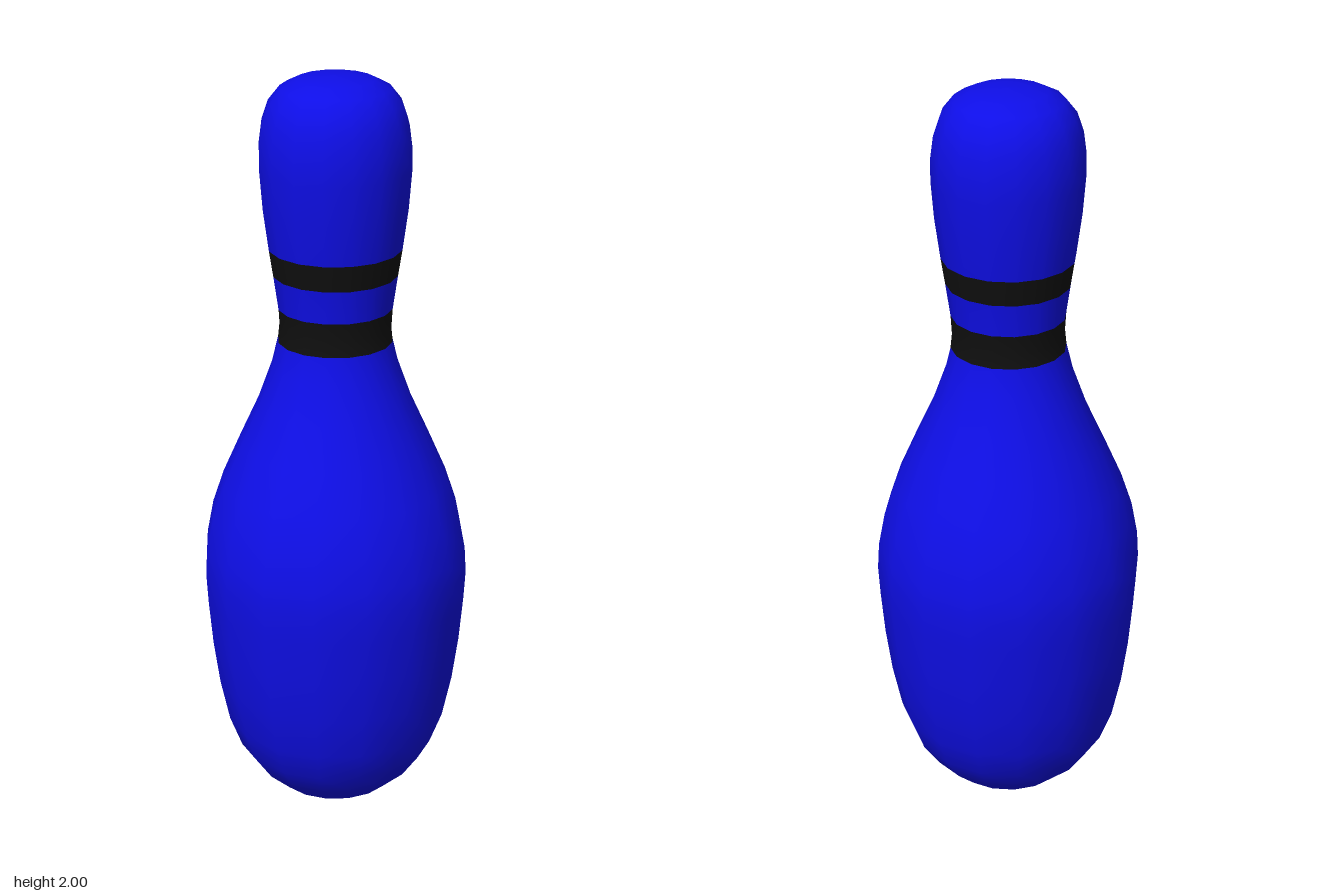
import * as THREE from 'three';

const SIDES = 16;

// Outline from the foot to the crown: [radius, height]
const profile = [
  [0.115, 0], [0.155, 0.022], [0.215, 0.075], [0.262, 0.14], [0.295, 0.225],
  [0.32, 0.34], [0.337, 0.46], [0.348, 0.58], [0.353, 0.66], [0.349, 0.73],
  [0.332, 0.82], [0.302, 0.91], [0.254, 1.02], [0.204, 1.13], [0.168, 1.23],
  [0.151, 1.3], [0.147, 1.34], [0.15, 1.39], [0.163, 1.48], [0.174, 1.55],
  [0.189, 1.66], [0.197, 1.76], [0.197, 1.82], [0.189, 1.88], [0.172, 1.93],
  [0.142, 1.968], [0.1, 1.989], [0.05, 1.998], [0, 2],
];

export function createModel() {
  const blue = new THREE.MeshStandardMaterial({ name: 'blue', color: 0x0f0fee });
  const black = new THREE.MeshStandardMaterial({ name: 'black', color: 0x0f0f0f });
  const green = new THREE.MeshStandardMaterial({ name: 'dark green', color: 0x0b3d30 });

  const model = new THREE.Group();
  model.name = 'bowlingPin';

  // One smooth turned surface, cut by height so normals run on across the colours
  const turned = new THREE.LatheGeometry(profile.map(([r, y]) => new THREE.Vector2(r, y)), SIDES);
  const addBand = (name, low, high, material) => {
    const geometry = turned.clone();
    const { position } = geometry.attributes;
    const source = turned.index.array;
    const kept = [];
    for (let i = 0; i < source.length; i += 3) {
      const face = [source[i], source[i + 1], source[i + 2]];
      const middle = face.reduce((sum, v) => sum + position.getY(v), 0) / 3;
      if (middle > low && middle < high) kept.push(...face);
    }
    geometry.setIndex(kept);
    const mesh = new THREE.Mesh(geometry, material);
    mesh.name = name;
    model.add(mesh);
  };
  addBand('body', 0, 1.3, blue);
  addBand('lowerStripe', 1.3, 1.39, black);
  addBand('neck', 1.39, 1.48, blue);
  addBand('upperStripe', 1.48, 1.55, black);
  addBand('head', 1.55, 2, blue);

  // Flat underside
  const base = new THREE.Mesh(new THREE.CircleGeometry(profile[0][0], SIDES), green);
  base.name = 'base';
  base.rotation.x = Math.PI / 2;
  model.add(base);

  return model;
}
